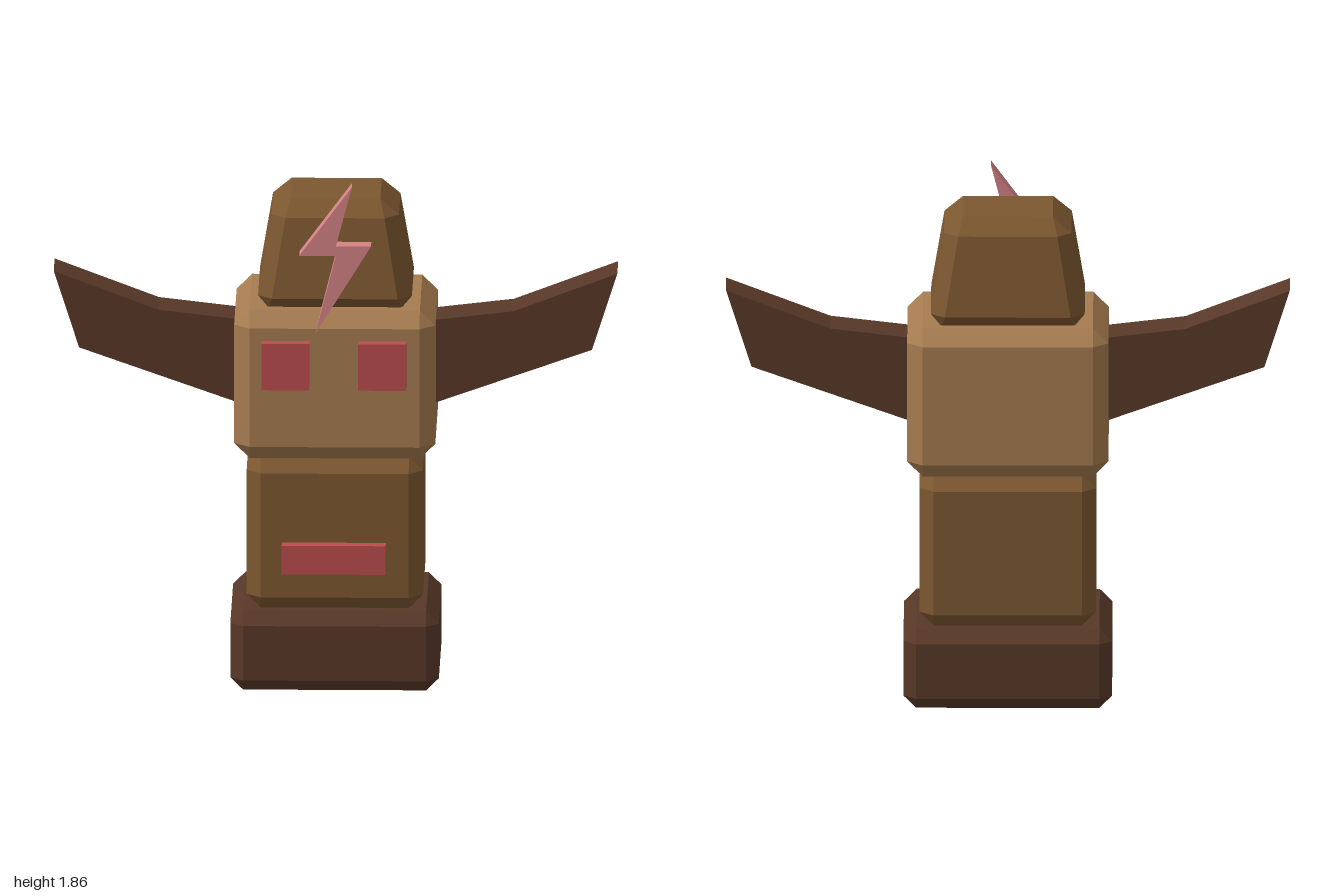
import * as THREE from 'three';
import { ConvexGeometry } from 'three/addons/geometries/ConvexGeometry.js';

const material = (name, color) => {
  const m = new THREE.MeshStandardMaterial({ color });
  m.name = name;
  return m;
};

// Block with bevelled edges. Each level is its y plus half width and half depth;
// bottom and top are the end caps, low and high the widest rings of the sides.
function bevelledBlock(bottom, low, high, top, bevel, zCentre) {
  const points = [];
  const corners = (y, x, z) => {
    for (const sx of [-1, 1]) for (const sz of [-1, 1]) {
      points.push(new THREE.Vector3(sx * x, y, zCentre + sz * z));
    }
  };
  corners(...bottom);
  for (const [y, x, z] of [low, high]) {
    corners(y, x - bevel, z);
    corners(y, x, z - bevel);
  }
  corners(...top);
  return new ConvexGeometry(points);
}

// Straight block between y0 and y1
function straightBlock(y0, y1, x, z, bevel, zCentre) {
  const b = bevel;
  return bevelledBlock([y0, x - b, z - b], [y0 + b, x, z], [y1 - b, x, z], [y1, x - b, z - b], b, zCentre);
}

// Flat outline extruded from z0 to z1
function slab(outline, z0, z1) {
  const shape = new THREE.Shape(outline.map(([x, y]) => new THREE.Vector2(x, y)));
  const geometry = new THREE.ExtrudeGeometry(shape, { depth: z1 - z0, bevelEnabled: false });
  return geometry.translate(0, 0, z0);
}

function box(x0, x1, y0, y1, z0, z1) {
  return new THREE.BoxGeometry(x1 - x0, y1 - y0, z1 - z0)
    .translate((x0 + x1) / 2, (y0 + y1) / 2, (z0 + z1) / 2);
}

export function createModel() {
  const darkWood = material('dark wood', 0x583827);
  const midWood = material('mid wood', 0x7c5730);
  const lightWood = material('light wood', 0xa67c50);
  const red = material('red paint', 0xbd4c4e);
  const pink = material('pink paint', 0xd48284);

  const model = new THREE.Group();
  model.name = 'totemPole';
  const add = (name, geometry, mat) => {
    const mesh = new THREE.Mesh(geometry, mat);
    mesh.name = name;
    model.add(mesh);
  };

  // Stacked carved blocks
  add('base', straightBlock(0, 0.29, 0.37, 0.313, 0.045, -0.013), darkWood);
  add('body', straightBlock(0.29, 0.845, 0.313, 0.271, 0.05, -0.012), midWood);
  add('head', straightBlock(0.845, 1.39, 0.357, 0.3, 0.055, -0.012), lightWood);
  add('crown', bevelledBlock(
    [1.385, 0.235, 0.2], [1.43, 0.273, 0.247], [1.715, 0.226, 0.2], [1.772, 0.16, 0.139], 0.05, -0.013), midWood);

  // Wings, the right one listed in mirrored order
  const wing = [[0.33, 1.0], [0.91, 1.205], [1, 1.485], [0.63, 1.345], [0.33, 1.31]];
  add('leftWing', slab(wing, -0.1, 0.073), darkWood);
  add('rightWing', slab(wing.map(([x, y]) => [-x, y]).reverse(), -0.1, 0.073), darkWood);

  // Face
  add('leftEye', box(0.085, 0.255, 1.12, 1.29, 0.27, 0.33), red);
  add('rightEye', box(-0.258, -0.088, 1.12, 1.29, 0.27, 0.33), red);
  add('mouth', box(-0.187, 0.182, 0.437, 0.542, 0.24, 0.305), red);

  // Lightning bolt standing before the crown
  add('bolt', slab([[0.062, 1.857], [-0.125, 1.605], [0.005, 1.605],
    [-0.067, 1.32], [0.13, 1.64], [0.005, 1.64]], 0.23, 0.295), pink);

  return model;
}
